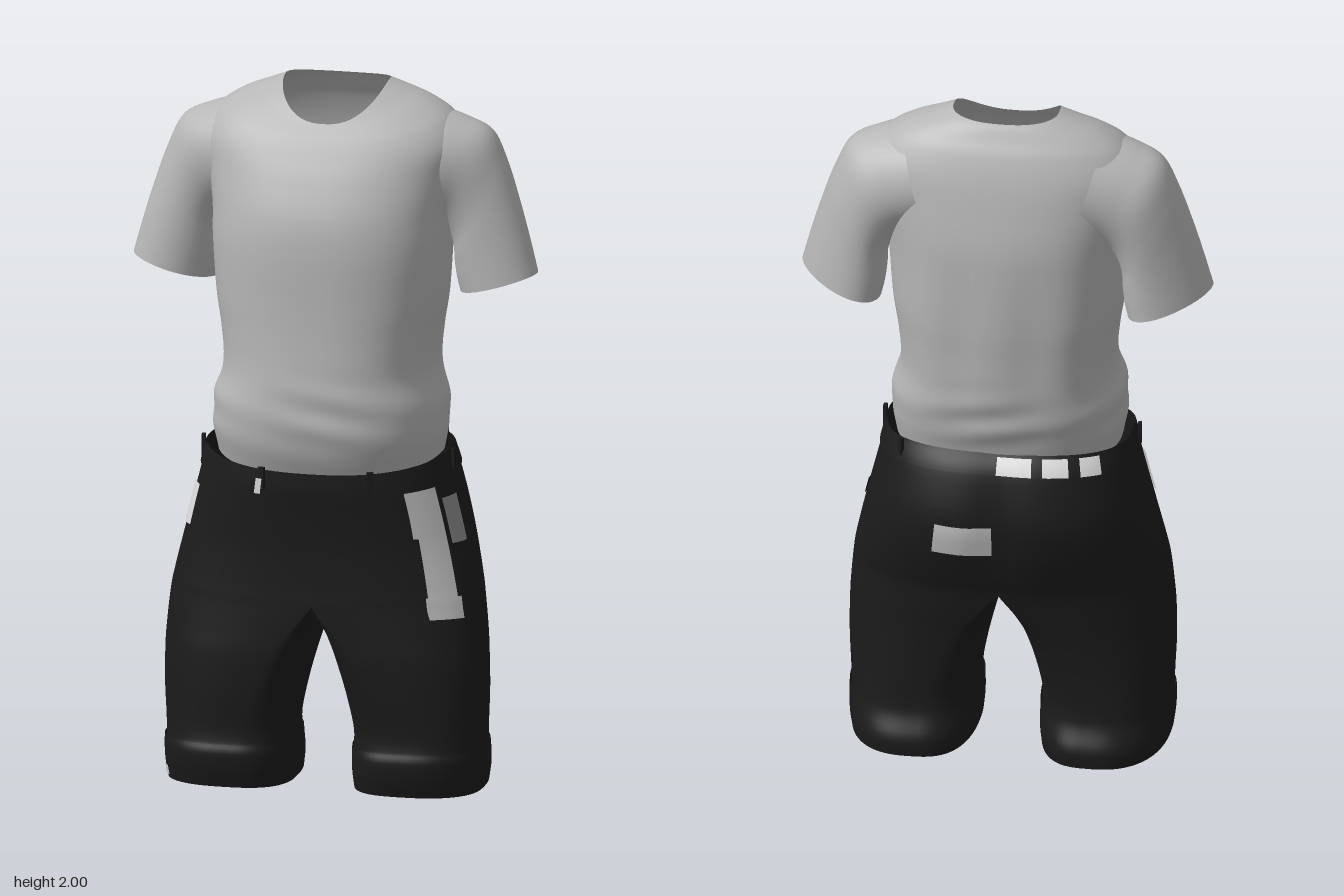
import * as THREE from 'three';
import { mergeGeometries, mergeVertices } from 'three/addons/utils/BufferGeometryUtils.js';

const mat = (name, color) => new THREE.MeshStandardMaterial({ name, color, side: THREE.DoubleSide });

// Smooth interpolation between rows of key values
function sample(keys, v) {
  const last = keys.length - 1;
  const i = Math.min(Math.floor(v), last - 1), f = v - i;
  const k = j => keys[Math.max(0, Math.min(last, j))];
  return keys[i].map((b, n) => {
    const a = k(i - 1)[n], c = k(i + 1)[n], d = k(i + 2)[n];
    return b + 0.5 * f * (c - a + f * (2 * a - 5 * b + 4 * c - d + f * (3 * (b - c) + d - a)));
  });
}

// Row position for a given height (keys run from top to bottom)
function rowAt(keys, y) {
  for (let i = 0; i < keys.length - 1; i++) {
    const a = keys[i][0], b = keys[i + 1][0];
    if (y <= a && y >= b) return i + (a - y) / (a - b);
  }
  return y > keys[0][0] ? 0 : keys.length - 1;
}

// Point on a rounded cross-section; t = 0 front, PI/2 outer side, PI back
// Row: side y, front y, back y, outer x, front z, back z, middle z, middle x, inner x
function ringPoint(keys, t, v, offset = 0) {
  const [ys, yf, yb, xo, zf, zb, zm, cx0, xi0] = sample(keys, v);
  const shirt = keys[0][8] < 0;
  const cx = Math.max(0, cx0), xi = shirt ? xi0 : Math.max(0, Math.min(cx, xi0));
  const s = Math.sin(t), c = Math.cos(t);
  const power = (n, e) => (Math.abs(n) < 1e-9 ? 0 : Math.abs(n) ** e);
  const ec = power(c, 0.83);
  const x = s >= 0 ? cx + (xo - cx) * power(s, 0.83) : cx - (cx - xi) * power(s, shirt ? 0.83 : 0.65);
  const z = c >= 0 ? zm + (zf - zm) * ec : zm - (zm - zb) * ec;
  const y = ys + ((c >= 0 ? yf : yb) - ys) * power(c, 1.5);
  return new THREE.Vector3(x + offset * s, y, z + offset * c);
}

// Surface over a grid of points, skipping faces that lie on the centre plane
function grid(fn, nu, nv, flip = false) {
  const pos = [], index = [];
  for (let j = 0; j <= nv; j++) for (let i = 0; i <= nu; i++) pos.push(...fn(i / nu, j / nv).toArray());
  const flat = (...ids) => ids.every(i => Math.abs(pos[3 * i]) < 1e-4);
  const tri = (a, b, c) => { if (!flat(a, b, c)) index.push(a, ...(flip ? [c, b] : [b, c])); };
  for (let j = 0; j < nv; j++) for (let i = 0; i < nu; i++) {
    const a = j * (nu + 1) + i, b = a + 1, c = a + nu + 1, d = c + 1;
    tri(a, c, b);
    tri(b, c, d);
  }
  const g = new THREE.BufferGeometry();
  g.setAttribute('position', new THREE.Float32BufferAttribute(pos, 3));
  g.setIndex(index);
  return g;
}

function smooth(geos) {
  const g = mergeVertices(mergeGeometries(geos), 1e-4);
  g.computeVertexNormals();
  return g;
}

const SHIRT = [
  [2.0, 1.9, 1.99, 0.15, 0.12, -0.14, -0.055],
  [1.98, 1.893, 1.98, 0.2, 0.126, -0.152, -0.055],
  [1.95, 1.88, 1.95, 0.275, 0.138, -0.172, -0.055],
  [1.905, 1.86, 1.91, 0.34, 0.155, -0.198, -0.05],
  [1.84, 1.82, 1.84, 0.375, 0.18, -0.225, -0.05],
  [1.75, 1.75, 1.75, 0.36, 0.217, -0.247, -0.04],
  [1.65, 1.65, 1.65, 0.342, 0.255, -0.265, -0.02],
  [1.55, 1.55, 1.55, 0.336, 0.27, -0.27, 0],
  [1.4, 1.4, 1.4, 0.325, 0.275, -0.27, 0],
  [1.3, 1.3, 1.3, 0.31, 0.28, -0.265, 0],
  [1.2, 1.2, 1.2, 0.303, 0.288, -0.26, 0],
  [1.1, 1.1, 1.1, 0.328, 0.294, -0.248, 0.01],
  [1.03, 1.0, 1.04, 0.33, 0.283, -0.232, 0.02],
  [0.95, 0.91, 0.96, 0.318, 0.248, -0.208, 0.02],
].map(r => [...r, 0, -r[3]]);

const SHORTS = [
  [0.965, 0.925, 0.985, 0.345, 0.272, -0.215, 0.03, 0, 0],
  [0.9, 0.87, 0.93, 0.362, 0.272, -0.255, 0.03, 0, 0],
  [0.8, 0.8, 0.8, 0.387, 0.265, -0.295, 0.035, 0, 0],
  [0.7, 0.7, 0.7, 0.412, 0.258, -0.285, 0.045, 0, 0],
  [0.6, 0.6, 0.6, 0.435, 0.258, -0.25, 0.06, 0, 0],
  [0.54, 0.54, 0.54, 0.446, 0.26, -0.225, 0.07, 0, 0],
  [0.45, 0.45, 0.45, 0.455, 0.26, -0.2, 0.075, 0.08, 0.023],
  [0.38, 0.38, 0.38, 0.459, 0.26, -0.183, 0.08, 0.14, 0.042],
  [0.28, 0.28, 0.28, 0.46, 0.254, -0.17, 0.08, 0.2, 0.068],
  [0.18, 0.18, 0.18, 0.455, 0.245, -0.165, 0.08, 0.25, 0.088],
  [0.13, 0.13, 0.13, 0.453, 0.248, -0.168, 0.08, 0.26, 0.09],
  [0.1, 0.1, 0.1, 0.454, 0.258, -0.178, 0.08, 0.26, 0.09],
  [0.05, 0.05, 0.05, 0.452, 0.252, -0.203, 0.08, 0.26, 0.09],
  [0, 0, 0, 0.445, 0.236, -0.2, 0.08, 0.26, 0.095],
];

// Sleeve rows: outer x, outer y, inner x, inner y, middle z, half depth
const SLEEVE = [
  [0.28, 1.93, 0.2, 1.64, -0.05, 0.165],
  [0.37, 1.903, 0.27, 1.62, -0.055, 0.148],
  [0.443, 1.866, 0.31, 1.59, -0.063, 0.134],
  [0.487, 1.78, 0.332, 1.54, -0.065, 0.124],
  [0.525, 1.67, 0.335, 1.49, -0.062, 0.12],
  [0.555, 1.57, 0.34, 1.445, -0.06, 0.118],
  [0.582, 1.47, 0.35, 1.4, -0.058, 0.117],
];

function shirtPoint(u, w) {
  const t = u * Math.PI * 2;
  const p = ringPoint(SHIRT, t, w * (SHIRT.length - 1));
  // Soft gathers at the waist and long folds down the back
  const waist = Math.exp(-(((p.y - 1.09) / 0.09) ** 2)) * (0.6 + 0.4 * Math.sin(p.x * 14 + 1));
  const back = p.z < 0 ? Math.exp(-(((p.y - 1.35) / 0.25) ** 2)) * Math.cos(t) ** 2 : 0;
  const d = 0.005 * waist * Math.sin(p.y * 55 + p.x * 11) + 0.005 * back * Math.cos(p.x * 30);
  p.x += d * Math.sin(t);
  p.z += d * Math.cos(t);
  return p;
}

function shortsPoint(side, t, v, offset = 0) {
  const p = ringPoint(SHORTS, t, v, offset);
  // Centre dip at the seat
  if (p.z < 0) p.z += 0.02 * Math.exp(-((p.x / 0.06) ** 2) - ((p.y - 0.75) / 0.15) ** 2);
  p.x *= side;
  return p;
}

export function createModel() {
  const group = new THREE.Group();
  const shirt = mat('shirt grey', 0xb6b6b6), black = mat('shorts black', 0x1b1b1b);
  const light = mat('patch light grey', 0xdcdcdc), lining = mat('pocket grey', 0x8c8c8c);
  const stripe = mat('stripe grey', 0xc0c0c0);
  const add = (name, geometry, material) => {
    const m = new THREE.Mesh(geometry, material);
    m.name = name;
    group.add(m);
    return m;
  };
  const PI = Math.PI, sides = [1, -1];

  // Shirt body and sleeves
  add('shirtBody', smooth([grid(shirtPoint, 96, 110)]), shirt);
  for (const side of sides) {
    const sleeve = grid((u, w) => {
      const [ox, oy, ix, iy, zm, hz] = sample(SLEEVE, w * (SLEEVE.length - 1));
      const a = u * PI * 2, s = Math.sin(a), k = 0.5 + 0.5 * s;
      // Section narrows and leans forward on the outer side
      const z = zm + 0.03 * w * s + hz * Math.cos(a) * (1 - 0.15 * w * s);
      return new THREE.Vector3(side * (ix + (ox - ix) * k), iy + (oy - iy) * k, z);
    }, 40, 36, side < 0);
    add(side > 0 ? 'leftSleeve' : 'rightSleeve', smooth([sleeve]), shirt);
  }

  // Shorts: two mirrored halves joined at the centre seam
  const rows = SHORTS.length - 1;
  add('shorts', smooth(sides.map(s => grid((u, w) => shortsPoint(s, u * PI * 2, w * rows), 80, 78, s < 0))), black);

  // Thin pieces that follow the cloth between two angles and two heights
  const patchGeo = (side, t0, t1, y0, y1, off = 0.006) => {
    const v0 = rowAt(SHORTS, y0), v1 = rowAt(SHORTS, y1);
    return grid((u, w) => shortsPoint(side, t0 + (t1 - t0) * u, v0 + (v1 - v0) * w, off),
      Math.max(4, Math.ceil(Math.abs(t1 - t0) * 14)), 10, side < 0);
  };
  const patch = (name, material, ...args) => add(name, smooth([patchGeo(...args)]), material);

  add('waistband', smooth(sides.map(s => patchGeo(s, 0, PI, 0.965, 0.905))), black);
  for (const s of sides) patch('cuff', black, s, 0, PI * 2, 0.125, 0, 0.005);
  patch('fly', black, 1, 0, 0.07, 0.9, 0.58, 0.004);

  // Side stripe tapering to a wider foot, pockets and light patches
  patch('sideStripeTop', stripe, 1, 0.71, 1.08, 0.89, 0.74);
  patch('sideStripe', stripe, 1, 0.76, 1.08, 0.74, 0.575);
  patch('stripeFoot', stripe, 1, 0.74, 1.13, 0.575, 0.51);
  patch('leftPocket', lining, 1, 1.14, 1.41, 0.85, 0.72);
  patch('leftPocketEdge', black, 1, 1.12, 1.44, 0.72, 0.67, 0.008);
  patch('rightPocketPatch', light, -1, 1.12, 1.38, 0.85, 0.73);
  patch('backPocketPatch', stripe, 1, PI - 0.37, PI - 0.01, 0.785, 0.69);
  for (const d of [0.1, 0.4, 0.73]) patch('backWaistPatch', light, -1, PI - d - 0.11, PI - d + 0.11, 0.955, 0.905, 0.009);
  patch('cuffPatch', light, -1, 1.0, 1.2, 0.04, 0.015, 0.008);

  // Belt loops
  const loops = [[1, 0.42], [-1, 0.33], [1, 1.5], [-1, 1.5], [1, 2.3]];
  for (const [s, t] of loops) {
    const p = shortsPoint(s, t, rowAt(SHORTS, 0.933), 0.01);
    const loop = add('beltLoop', new THREE.BoxGeometry(0.018, 0.065, 0.01), black);
    loop.position.copy(p);
    loop.rotation.y = s * t;
  }
  patch('beltLoopPatch', light, -1, 0.31, 0.36, 0.935, 0.885, 0.021);
  return group;
}
